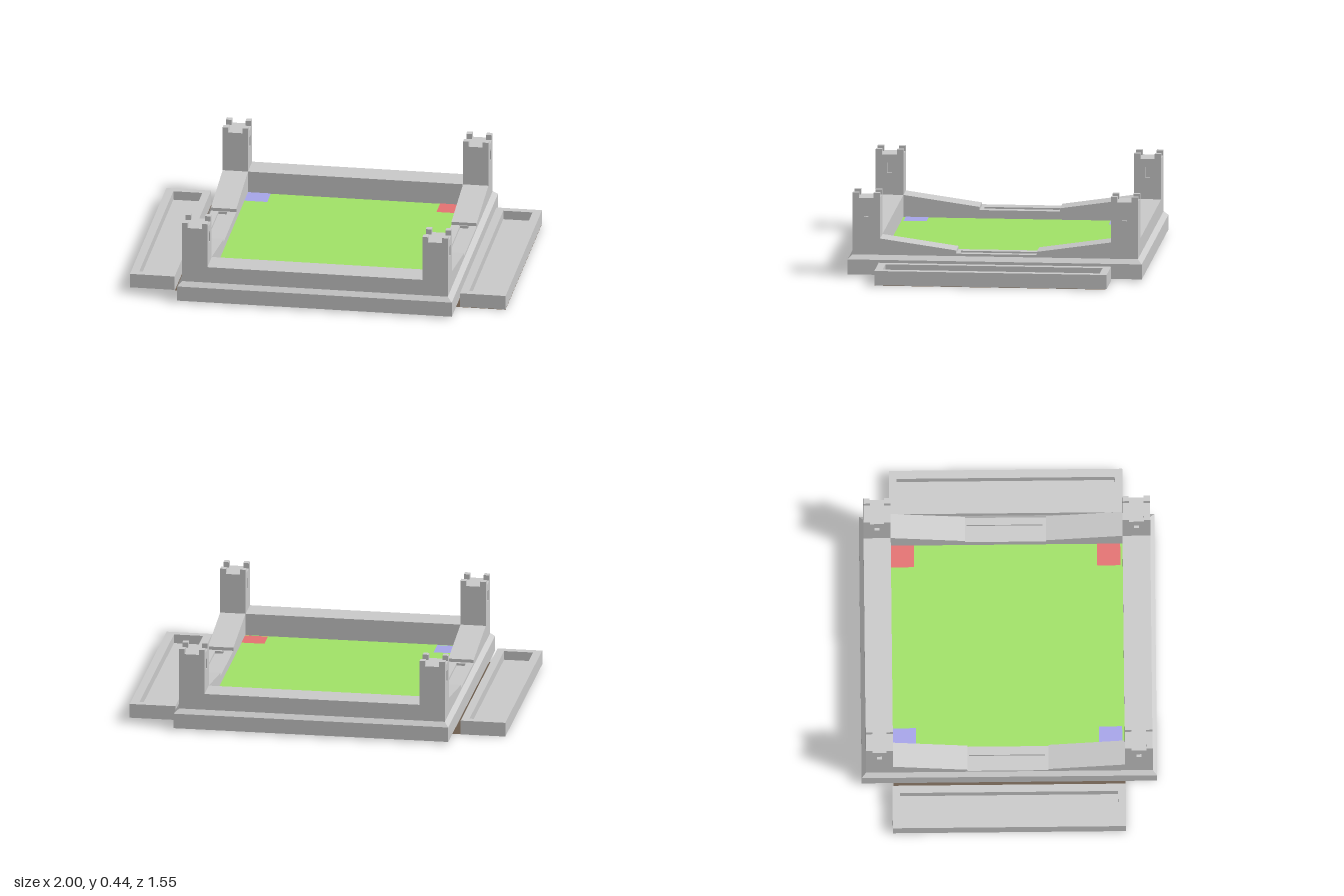
import * as THREE from 'three';

const grey = new THREE.MeshStandardMaterial({ color: 0xcccccc, flatShading: true });
const paint = (color) => new THREE.MeshStandardMaterial({ color, side: THREE.DoubleSide });

// Main plan: inner field edges and wall faces
const IN = { x0: -0.565, x1: 0.58, z0: -0.612, z1: 0.607 };
const WALL = { x0: -0.70, x1: 0.715, z0: -0.755, z1: 0.753 };
const BASE = { x0: -0.722, x1: 0.74, z0: -0.778, z1: 0.776 };
const FLOOR = 0.08;

function add(parent, name, geometry, material = grey) {
  const mesh = new THREE.Mesh(geometry, material);
  mesh.name = name;
  parent.add(mesh);
  return mesh;
}

// Box given by its limits
function box(x0, x1, y0, y1, z0, z1) {
  return new THREE.BoxGeometry(x1 - x0, y1 - y0, z1 - z0)
    .translate((x0 + x1) / 2, (y0 + y1) / 2, (z0 + z1) / 2);
}

function rect(Type, x0, x1, y0, y1) {
  return new Type([[x0, y0], [x1, y0], [x1, y1], [x0, y1]].map(([x, y]) => new THREE.Vector2(x, y)));
}

// Profile in z and y, extruded from x0 to x1
function extrudeX(shape, x0, x1) {
  return new THREE.ExtrudeGeometry(shape, { depth: x1 - x0, bevelEnabled: false })
    .rotateY(-Math.PI / 2).translate(x1, 0, 0);
}

// Block with a rectangular recess in its top
function tray(parent, name, o, h, y0, floor, y1) {
  const group = new THREE.Group();
  group.name = name;
  const shape = rect(THREE.Shape, o.x0, o.x1, -o.z1, -o.z0);
  shape.holes.push(rect(THREE.Path, h.x0, h.x1, -h.z1, -h.z0));
  add(group, name + 'Rim', new THREE.ExtrudeGeometry(shape, { depth: y1 - y0, bevelEnabled: false })
    .rotateX(-Math.PI / 2).translate(0, y0, 0));
  add(group, name + 'Floor', box(h.x0, h.x1, y0, floor, h.z0, h.z1));
  parent.add(group);
}

// Rectangular loops joined into a closed band
function rectBand(loops) {
  const pos = [];
  const corner = ([r, y], i) => [
    i === 1 || i === 2 ? r.x1 : r.x0, y, i < 2 ? r.z1 : r.z0];
  for (let k = 0; k < loops.length - 1; k++) {
    for (let i = 0; i < 4; i++) {
      const j = (i + 1) % 4;
      const a = corner(loops[k], i), b = corner(loops[k], j);
      const c = corner(loops[k + 1], j), d = corner(loops[k + 1], i);
      pos.push(...a, ...b, ...c, ...a, ...c, ...d);
    }
  }
  const g = new THREE.BufferGeometry();
  g.setAttribute('position', new THREE.Float32BufferAttribute(pos, 3));
  g.computeVertexNormals();
  return g;
}

// Corner tower with sunken windows on both x faces and corner merlons
function tower(x0, x1, z0, z1) {
  const group = new THREE.Group();
  group.name = 'tower';
  const top = 0.415, t = 0.015, zc = (z0 + z1) / 2;
  add(group, 'towerCore', box(x0 + t, x1 - t, 0.11, top, z0, z1));
  const face = rect(THREE.Shape, z0, z1, 0.11, top);
  face.holes.push(rect(THREE.Path, zc - 0.013, zc + 0.013, 0.315, 0.373));
  add(group, 'windowFace', extrudeX(face, x0, x0 + t));
  add(group, 'windowFace', extrudeX(face, x1 - t, x1));
  const mx = 0.03, mz = 0.034;
  for (const x of [x0, x1 - mx]) {
    for (const z of [z0, z1 - mz]) {
      add(group, 'merlon', box(x, x + mx, top, 0.443, z, z + mz));
    }
  }
  return group;
}

export function createModel() {
  const model = new THREE.Group();
  model.name = 'castleBoard';

  // Base block and its sloped ledge
  add(model, 'base', box(BASE.x0, BASE.x1, 0.01, FLOOR, BASE.z0, BASE.z1));
  add(model, 'ledge', rectBand([[BASE, FLOOR], [BASE, 0.09], [WALL, 0.113], [IN, 0.113], [IN, FLOOR]]));

  // Thin plate underneath, showing in the gaps beside the trays
  add(model, 'bottomPlate', new THREE.PlaneGeometry(1.76, 1.22).rotateX(-Math.PI / 2)
    .translate(0.12, 0, 0), paint(0x6d5d4e));

  // Playing field and its corner squares
  add(model, 'field', new THREE.PlaneGeometry(IN.x1 - IN.x0, IN.z1 - IN.z0).rotateX(-Math.PI / 2)
    .translate((IN.x0 + IN.x1) / 2, FLOOR + 0.002, (IN.z0 + IN.z1) / 2), paint(0xa2e468));
  const s = 0.122;
  for (const [x, color] of [[IN.x0 + s / 2, 0xa8a6eb], [IN.x1 - s / 2, 0xe67373]]) {
    for (const z of [IN.z0 + s / 2, IN.z1 - s / 2 - 0.012]) {
      add(model, 'cornerSquare', new THREE.PlaneGeometry(s, s).rotateX(-Math.PI / 2)
        .translate(x, FLOOR + 0.004, z), paint(color));
    }
  }

  // Front and back walls
  add(model, 'frontWall', box(WALL.x0, WALL.x1, FLOOR, 0.2, IN.z1, WALL.z1));
  add(model, 'backWall', box(WALL.x0, WALL.x1, FLOOR, 0.2, WALL.z0, IN.z0));

  // Side walls: two ramps with a low slotted stretch between, then towers at the ends
  const slots = [[-0.66, -0.612], [0.627, 0.675]];
  [[WALL.x0, IN.x0], [IN.x1, WALL.x1]].forEach(([x0, x1], i) => {
    for (const [zEnd, zMid] of [[IN.z1, 0.205], [IN.z0, -0.22]]) {
      const ramp = new THREE.Shape([[zEnd, FLOOR], [zEnd, 0.2], [zMid, 0.143], [zMid, FLOOR]]
        .map(([z, y]) => new THREE.Vector2(z, y)));
      add(model, 'ramp', extrudeX(ramp, x0, x1));
    }
    tray(model, 'lowWall', { x0, x1, z0: -0.22, z1: 0.205 },
      { x0: slots[i][0], x1: slots[i][1], z0: -0.213, z1: 0.187 }, FLOOR, 0.105, 0.126);
    model.add(tower(x0, x1, IN.z1, WALL.z1), tower(x0, x1, WALL.z0, IN.z0));
  });

  // Piece trays on both sides
  for (const [a, b, c, d] of [[-1, -0.762, -0.957, -0.803], [0.757, 1, 0.8, 0.955]]) {
    tray(model, 'sideTray', { x0: a, x1: b, z0: -0.617, z1: 0.61 },
      { x0: c, x1: d, z0: -0.577, z1: 0.57 }, 0.002, 0.03, 0.078);
  }
  return model;
}
